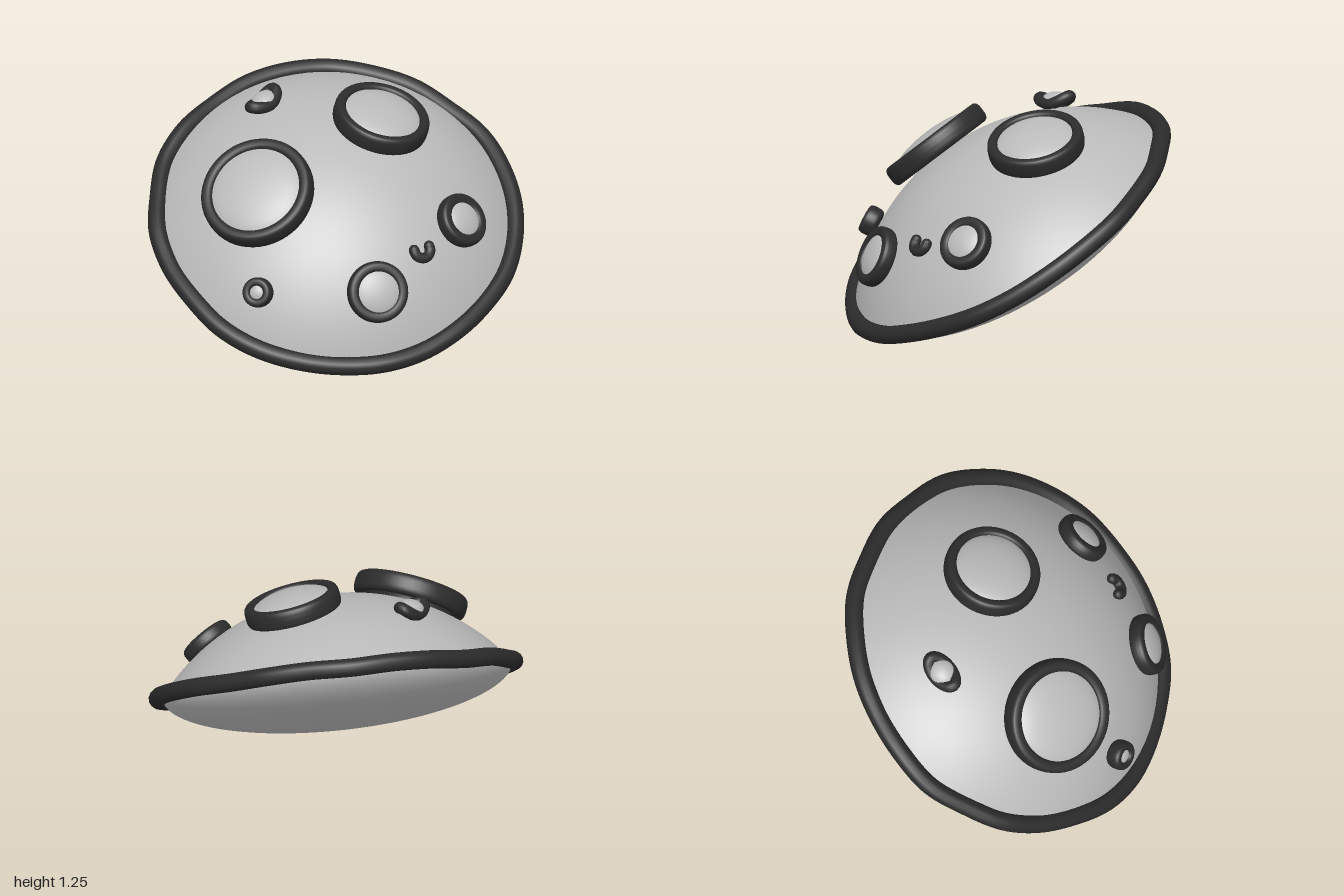
import * as THREE from 'three';

const shell = new THREE.MeshStandardMaterial({ color: 0xbababa });
shell.name = 'pale grey shell';
const rubber = new THREE.MeshStandardMaterial({ color: 0x2b2b2b });
rubber.name = 'charcoal trim';

const UP = new THREE.Vector3(0, 1, 0);
const TILT = new THREE.Vector3(-0.35, 0.856, 0.38).normalize();
const CENTRE = new THREE.Vector3(0, 0.575, 0);
const RADIUS = 0.99, HEIGHT = 0.485, DEPTH = 0.28;
const DOME_R = (RADIUS * RADIUS + HEIGHT * HEIGHT) / (2 * HEIGHT);
const DOME_C = CENTRE.clone().addScaledVector(TILT, HEIGHT - DOME_R);

function add(parent, name, geometry, material) {
  const mesh = new THREE.Mesh(geometry, material);
  mesh.name = name;
  parent.add(mesh);
  return mesh;
}

function seeded(seed) {
  return () => (seed = (seed * 16807) % 2147483647) / 2147483647;
}

// Spherical cap on top of the hull
function domeGeometry() {
  const a = Math.asin(RADIUS / DOME_R), pts = [];
  for (let i = 0; i <= 28; i++) {
    const t = a * (1 - i / 28);
    pts.push(new THREE.Vector2(DOME_R * Math.sin(t), DOME_R * Math.cos(t) - DOME_R + HEIGHT));
  }
  return new THREE.LatheGeometry(pts, 80);
}

// Shallow bowl underneath
function bellyGeometry() {
  const pts = [];
  for (let i = 0; i <= 32; i++) {
    const t = (i / 32) * Math.PI / 2;
    pts.push(new THREE.Vector2(RADIUS * Math.sin(t), -DEPTH * Math.cos(t)));
  }
  return new THREE.LatheGeometry(pts, 80);
}

// Uneven hand-rolled rim
function rimGeometry() {
  const rand = seeded(41), pts = [], n = 26;
  for (let i = 0; i < n; i++) {
    const a = (i / n) * Math.PI * 2, r = 1.006 + (rand() - 0.5) * 0.02;
    pts.push(new THREE.Vector3(r * Math.cos(a), (rand() - 0.5) * 0.012, r * Math.sin(a)));
  }
  return new THREE.TubeGeometry(new THREE.CatmullRomCurve3(pts, true), 208, 0.052, 14, true);
}

// Group at the given point, its y axis pointing outwards from the dome
function onDome(parent, name, x, y, z) {
  const g = new THREE.Group();
  g.name = name;
  g.position.set(x, y, z);
  g.quaternion.setFromUnitVectors(UP, g.position.clone().sub(DOME_C).normalize());
  parent.add(g);
  return g;
}

// Tall rounded collar around a bulging lens
function porthole(parent, name, pos, outer, hole, tall, bulge) {
  const g = onDome(parent, name, ...pos);
  const w = (outer - hole) / 2, mid = (outer + hole) / 2, pts = [];
  for (let i = 0; i <= 24; i++) {
    const a = (i / 24) * Math.PI * 2, c = Math.cos(a), s = Math.sin(a);
    pts.push(new THREE.Vector2(
      mid + w * Math.sign(c) * Math.pow(Math.abs(c), 0.7),
      tall * Math.sign(s) * Math.pow(Math.abs(s), 0.7)));
  }
  add(g, name + 'Ring', new THREE.LatheGeometry(pts, 56), rubber);
  const r = hole + w;
  const lens = new THREE.SphereGeometry(1, 40, 12, 0, Math.PI * 2, 0, Math.PI / 2).scale(r, bulge, r);
  add(g, name + 'Lens', lens, shell);
}

export function createModel() {
  const model = new THREE.Group();
  model.name = 'saucer';

  const hull = new THREE.Group();
  hull.name = 'hull';
  hull.position.copy(CENTRE);
  hull.quaternion.setFromUnitVectors(UP, TILT);
  model.add(hull);
  add(hull, 'dome', domeGeometry(), shell);
  add(hull, 'belly', bellyGeometry(), shell);
  add(hull, 'rim', rimGeometry(), rubber);

  // Portholes: position, outer radius, hole radius, half height, lens height
  porthole(model, 'largeRightPorthole', [-0.56, 0.905, -0.11], 0.325, 0.25, 0.06, 0.09);
  porthole(model, 'largeLeftPorthole', [0.275, 1.122, 0.11], 0.275, 0.21, 0.058, 0.085);
  porthole(model, 'frontRightPorthole', [-0.437, 0.47, 0.655], 0.174, 0.11, 0.043, 0.055);
  porthole(model, 'frontLeftPorthole', [0.225, 0.692, 0.73], 0.155, 0.088, 0.043, 0.055);
  porthole(model, 'smallSidePorthole', [-0.845, 0.46, 0.12], 0.085, 0.034, 0.045, 0.04);

  // Small oval hatch whose ends rise and whose sides sink into the dome
  const hatch = onDome(model, 'rearHatch', -0.02, 1.165, -0.5);
  const loop = [];
  for (let i = 0; i < 16; i++) {
    const a = (i / 16) * Math.PI * 2;
    loop.push(new THREE.Vector3(0.1 * Math.cos(a), 0.016 * Math.cos(2 * a), 0.05 * Math.sin(a)));
  }
  add(hatch, 'hatchRing', new THREE.TubeGeometry(new THREE.CatmullRomCurve3(loop, true), 48, 0.034, 12, true), rubber);
  add(hatch, 'hatchLens', new THREE.SphereGeometry(1, 24, 16).scale(0.08, 0.046, 0.072), shell);

  // Open crescent between the front portholes
  const crescent = onDome(model, 'frontCrescent', -0.1, 0.625, 0.705);
  const arc = [];
  for (let i = 0; i <= 8; i++) {
    const a = 3.65 - (i / 8) * 3.5;
    arc.push(new THREE.Vector3(0.05 * Math.cos(a), 0, 0.05 * Math.sin(a)));
  }
  add(crescent, 'crescentArc', new THREE.TubeGeometry(new THREE.CatmullRomCurve3(arc), 28, 0.03, 12), rubber);
  for (const end of [arc[0], arc[8]]) {
    add(crescent, 'crescentEnd', new THREE.SphereGeometry(0.03, 12, 10), rubber).position.copy(end);
  }
  return model;
}
